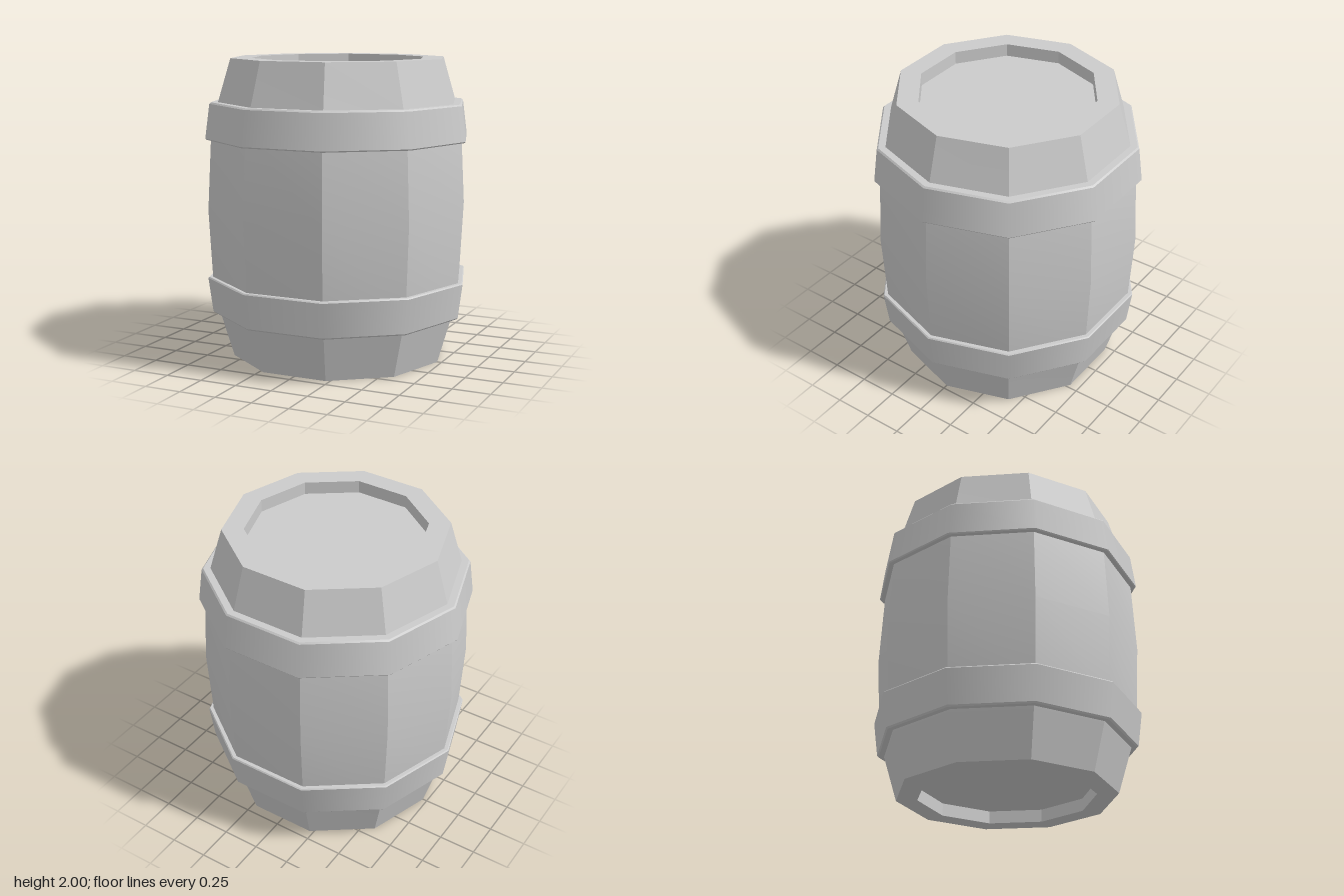
import * as THREE from 'three';
import { mergeGeometries } from 'three/addons/utils/BufferGeometryUtils.js';

const SIDES = 10;
const STEP = (Math.PI * 2) / SIDES;
const START = Math.PI / 2; // puts a corner on the x axis
const material = new THREE.MeshStandardMaterial({ color: 0xcccccc });

const toPoints = (profile) => profile.map(([r, y]) => new THREE.Vector2(r, y));

// One flat-faced side of a turned profile: smooth along its length, hard at the seams
function sideGeometry(profile, index) {
  const g = new THREE.LatheGeometry(toPoints(profile), 1, START + index * STEP, STEP);
  g.computeVertexNormals();
  return g;
}

// Ring that is smooth around but hard between its profile segments
function ringGeometry(profile) {
  const parts = [];
  for (let i = 0; i < profile.length - 1; i++) {
    parts.push(new THREE.LatheGeometry(toPoints([profile[i], profile[i + 1]]), SIDES, START));
  }
  return mergeGeometries(parts);
}

function addMesh(parent, geometry, name) {
  const mesh = new THREE.Mesh(geometry, material);
  mesh.name = name;
  parent.add(mesh);
  return mesh;
}

export function createModel() {
  const barrel = new THREE.Group();
  barrel.name = 'barrel';

  // Bulging staves
  const staveProfile = [
    [0.72, 0], [0.805, 0.285], [0.85, 0.43], [0.88, 1],
    [0.85, 1.57], [0.805, 1.715], [0.72, 2],
  ];
  const staves = new THREE.Group();
  staves.name = 'staves';
  for (let i = 0; i < SIDES; i++) addMesh(staves, sideGeometry(staveProfile, i), 'stave');
  barrel.add(staves);

  // Ends: flat rim, upright recess wall and sunken head
  const rimRadius = 0.72, headRadius = 0.58, depth = 0.085;
  for (const [end, y, dir] of [['top', 2, 1], ['bottom', 0, -1]]) {
    const floorY = y - dir * depth;
    const pieces = [
      ['Rim', [[rimRadius, y], [headRadius, y]]],
      ['RecessWall', [[headRadius, y], [headRadius, floorY]]],
      ['Head', [[headRadius, floorY], [0, floorY]]],
    ];
    for (const [label, profile] of pieces) {
      if (dir < 0) profile.reverse();
      const faces = [];
      for (let i = 0; i < SIDES; i++) faces.push(sideGeometry(profile, i));
      addMesh(barrel, mergeGeometries(faces), end + label);
    }
  }

  // Hoops with small bevelled edges, wider toward the belly
  const upperHoop = [
    [0.84, 1.47], [0.885, 1.47], [0.892, 1.478],
    [0.862, 1.705], [0.852, 1.715], [0.79, 1.715],
  ];
  const lowerHoop = upperHoop.map(([r, y]) => [r - 0.004, 2.02 - y]).reverse();
  addMesh(barrel, ringGeometry(upperHoop), 'upperHoop');
  addMesh(barrel, ringGeometry(lowerHoop), 'lowerHoop');

  return barrel;
}
